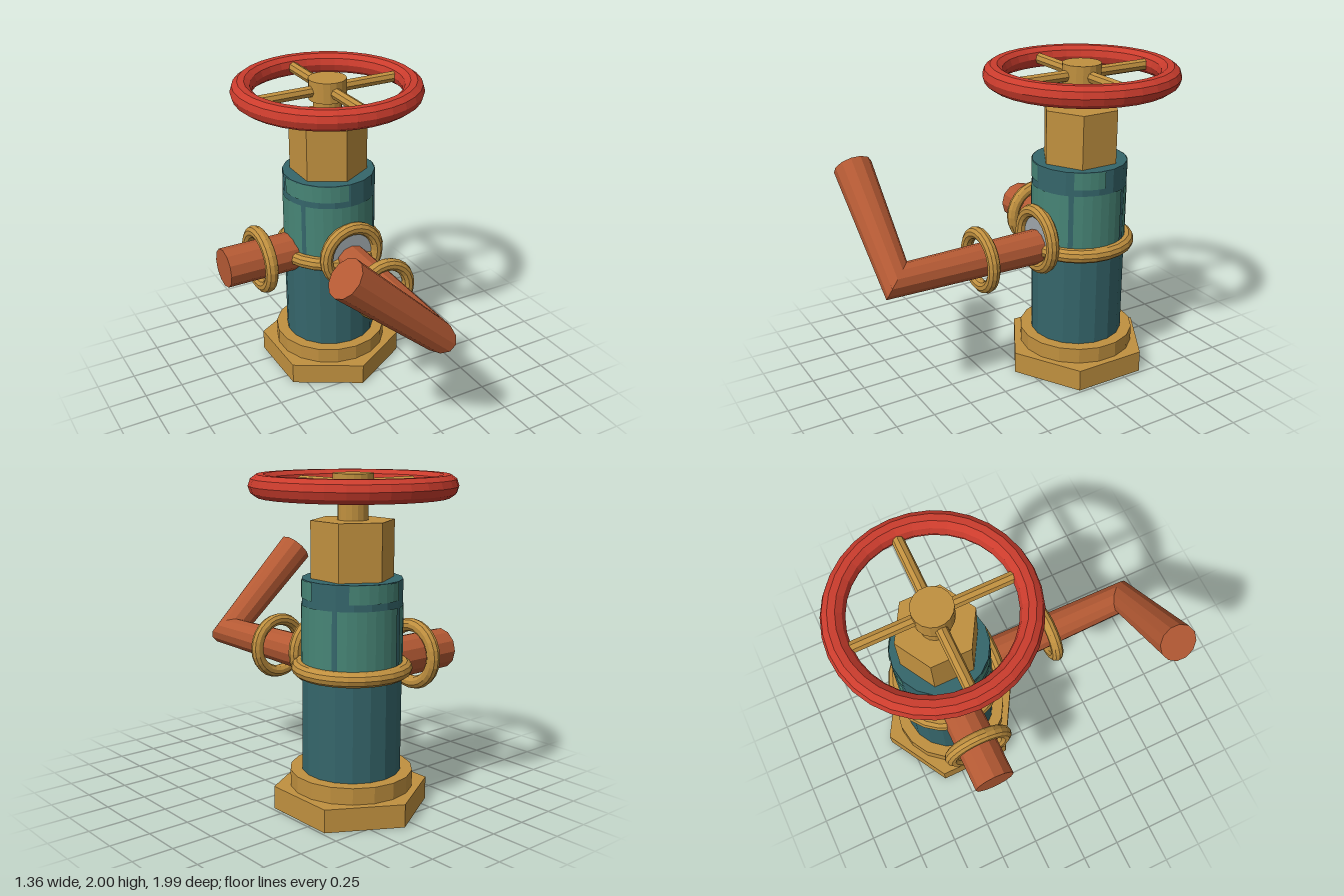
import * as THREE from 'three';

const mat = (name, color, extra = {}) => {
  const m = new THREE.MeshStandardMaterial({ color, flatShading: true, ...extra });
  m.name = name;
  return m;
};

// Tube through points with a radius at each point, mitred at bends, closed at both ends
function mitredTube(points, radii, sides) {
  const pos = [], index = [];
  const dirs = points.slice(1).map((p, i) => p.clone().sub(points[i]).normalize());
  let ring = [];
  for (let j = 0; j < sides; j++) {
    const a = (j / sides) * Math.PI * 2;
    ring.push(new THREE.Vector3(Math.cos(a), Math.sin(a), 0));
  }
  points.forEach((p, i) => {
    const before = dirs[Math.max(i - 1, 0)], after = dirs[Math.min(i, dirs.length - 1)];
    const normal = before.clone().add(after).normalize();
    // slide the previous section along its direction onto the mitre plane
    const mitre = ring.map(v => v.clone().addScaledVector(before, -v.dot(normal) / before.dot(normal)));
    mitre.forEach(v => pos.push(...v.clone().multiplyScalar(radii[i]).add(p).toArray()));
    ring = mitre.map(v => v.clone().addScaledVector(after, -v.dot(after)));
  });
  const last = (points.length - 1) * sides, c0 = points.length * sides;
  pos.push(...points[0].toArray(), ...points[points.length - 1].toArray());
  for (let j = 0; j < sides; j++) {
    const k = (j + 1) % sides;
    for (let i = 0; i < last; i += sides)
      index.push(i + j, i + k, i + sides + k, i + j, i + sides + k, i + sides + j);
    index.push(c0, k, j, c0 + 1, last + j, last + k);
  }
  const g = new THREE.BufferGeometry();
  g.setAttribute('position', new THREE.Float32BufferAttribute(pos, 3));
  g.setIndex(index);
  g.computeVertexNormals();
  return g;
}

export function createModel() {
  const model = new THREE.Group();
  model.name = 'valve';
  const brass = mat('brass', 0xc0903f);
  const red = mat('red paint', 0xcb3c2d);
  const copper = mat('copper', 0xb55a34);
  const teal = mat('dark teal', 0x35666b);
  const lightTeal = mat('light teal', 0x478576, { side: THREE.DoubleSide });
  const grey = mat('grey', 0xa0a8ac);

  const X = 0.075, Z = -0.395, PIPE_Y = 0.865;
  const add = (name, geometry, material, x, y, z) => {
    const m = new THREE.Mesh(geometry, material);
    m.name = name;
    m.position.set(x, y, z);
    model.add(m);
    return m;
  };
  const column = (name, r, y0, y1, sides, material) =>
    add(name, new THREE.CylinderGeometry(r, r, y1 - y0, sides), material, X, (y0 + y1) / 2, Z);
  const ring = (name, outer, tube, x, y, z, axis, material = brass, segments = 24) => {
    const g = new THREE.TorusGeometry(outer - tube, tube, 10, segments);
    if (axis === 'x') g.rotateY(Math.PI / 2);
    if (axis === 'y') g.rotateX(Math.PI / 2);
    return add(name, g, material, x, y, z);
  };

  // Upright column, from the floor up
  column('hexBase', 0.47, 0, 0.14, 6, brass);
  column('baseCollar', 0.37, 0.14, 0.24, 18, brass);
  column('body', 0.297, 0.24, 1.4, 18, teal);
  column('hexNut', 0.248, 1.4, 1.735, 6, brass);
  column('stem', 0.09, 1.735, 1.9, 16, brass);
  column('wheelHub', 0.12, 1.87, 2, 18, brass);

  // Painted panels on the body: start angle, end angle, bottom, top
  const panels = [
    [50, 116, 0.87, 1.25], [122, 197, 0.87, 1.25], [203, 297, 0.87, 1.25], [303, 404, 0.87, 1.25],
    [50, 88, 1.29, 1.397], [135, 200, 1.29, 1.397], [268, 357, 1.29, 1.397],
  ];
  for (const [a0, a1, y0, y1] of panels) {
    const rad = THREE.MathUtils.degToRad;
    const g = new THREE.CylinderGeometry(0.3, 0.3, y1 - y0, Math.ceil((a1 - a0) / 12), 1, true, rad(a0), rad(a1 - a0));
    add('bodyPanel', g, lightTeal, X, (y0 + y1) / 2, Z);
  }

  // Hand wheel
  ring('wheelRim', 0.6, 0.068, X, 1.931, Z, 'y', red, 32);
  for (let i = 0; i < 2; i++) {
    const spoke = add('wheelSpokes', new THREE.CylinderGeometry(0.036, 0.036, 0.96, 8), brass, X, 1.93, Z);
    spoke.rotation.set(i ? Math.PI / 2 : 0, 0, i ? 0 : Math.PI / 2);
  }

  // Side outlet
  const outlet = add('sidePipe', new THREE.CylinderGeometry(0.128, 0.128, 0.6, 12), copper, -0.38, PIPE_Y, Z - 0.005);
  outlet.rotation.z = Math.PI / 2;
  ring('sidePipeRing', 0.225, 0.042, -0.43, PIPE_Y, Z, 'x');

  // Front pipe with its raised arm
  const path = [[X, PIPE_Y, -0.2], [X, PIPE_Y, 0.875], [-0.505, 1.395, 0.878]].map(p => new THREE.Vector3(...p));
  add('bentPipe', mitredTube(path, [0.113, 0.096, 0.118], 12), copper, 0, 0, 0);

  // Rings and backing disc
  ring('bodyRing', 0.36, 0.045, X, PIPE_Y, Z, 'y');
  ring('frontPipeRing', 0.21, 0.039, X, PIPE_Y, 0.32, 'z');
  ring('frontSocketRing', 0.225, 0.042, X, 0.915, -0.087, 'z');
  const disc = add('socketDisc', new THREE.CylinderGeometry(0.185, 0.185, 0.009, 24), grey, X, 0.915, -0.088);
  disc.rotation.x = Math.PI / 2;

  return model;
}
